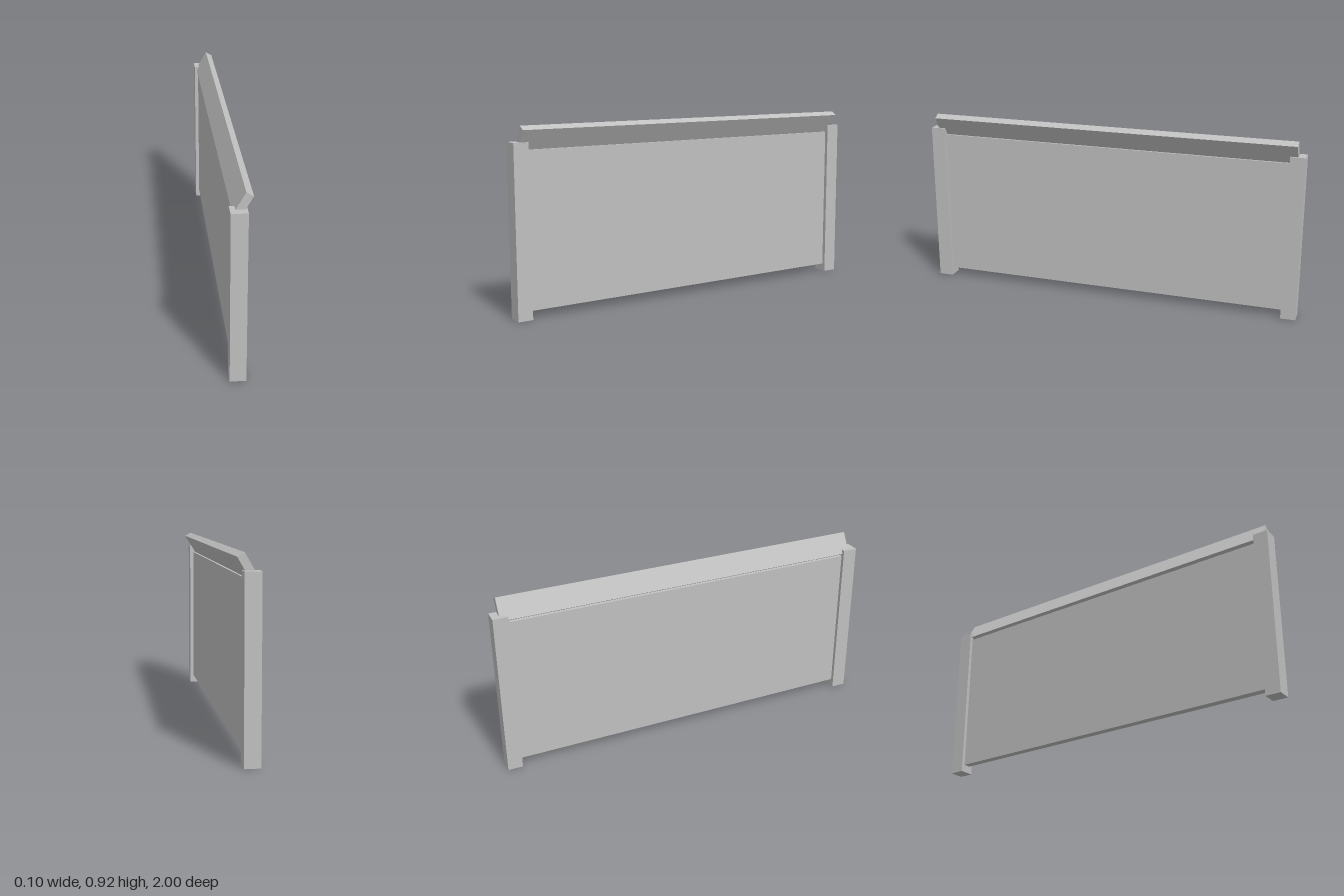
import * as THREE from 'three';

export function createModel() {
  const model = new THREE.Group();
  const grey = new THREE.MeshStandardMaterial({ color: 0xc0c0c0 });
  grey.name = 'plain grey';

  const addBox = (name, size, position, tilt = 0) => {
    const mesh = new THREE.Mesh(new THREE.BoxGeometry(...size), grey);
    mesh.name = name;
    mesh.position.set(...position);
    mesh.rotation.z = tilt;
    model.add(mesh);
  };

  // Square posts at both ends
  const postHeight = 0.847;
  for (const side of [1, -1]) {
    addBox(side > 0 ? 'frontPost' : 'backPost',
      [0.076, postHeight, 0.076], [-0.013, postHeight / 2, side * 0.962]);
  }

  // Barrier panel, recessed between the posts and raised off the ground
  addBox('panel', [0.038, 0.77, 1.85], [-0.013, 0.425, 0]);

  // Top board leaning outward, set into the tops of the posts
  addBox('topBoard', [0.0375, 0.115, 1.924], [0.0057, 0.8657, 0], -Math.PI / 6);

  return model;
}
